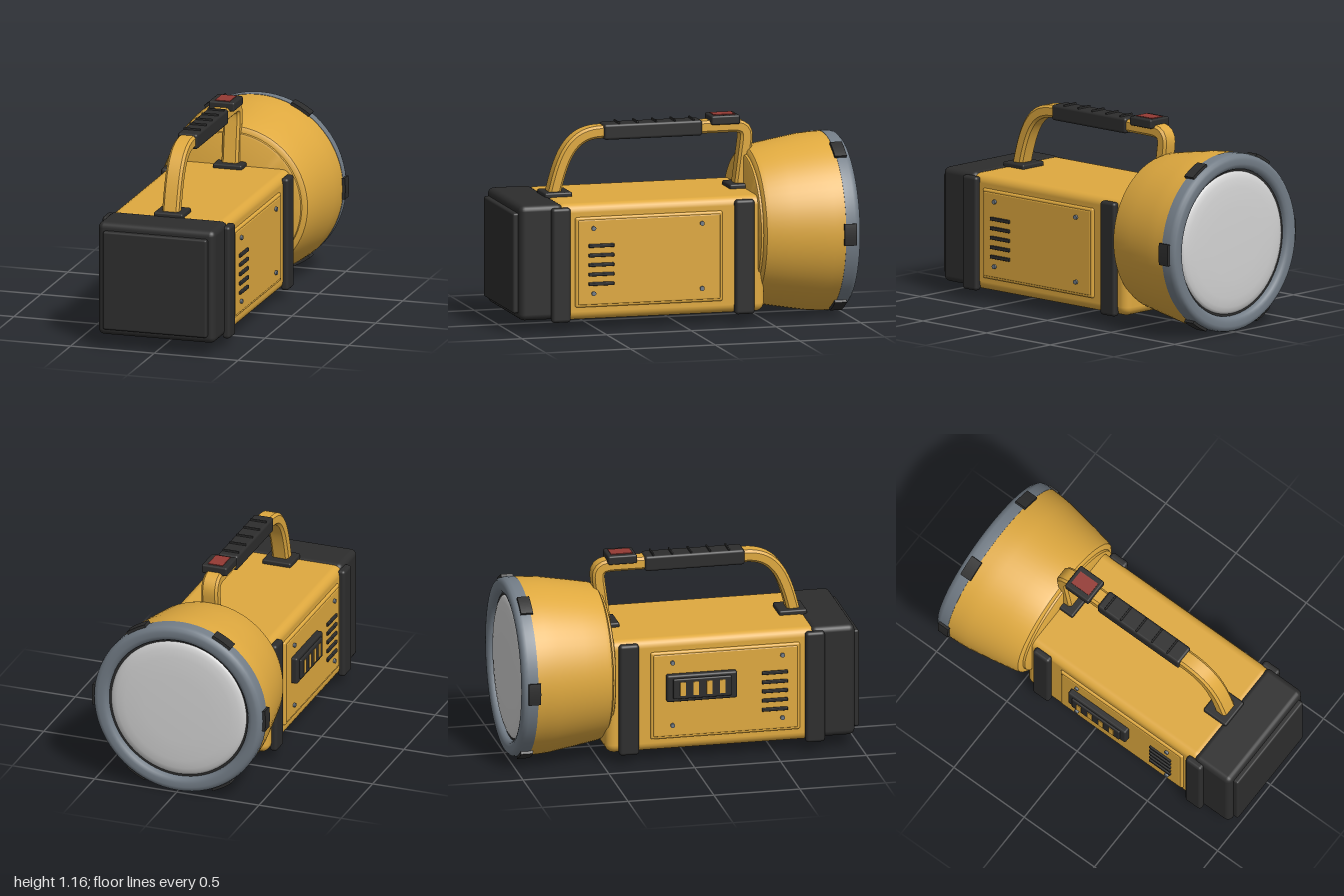
import * as THREE from 'three';
import { RoundedBoxGeometry } from 'three/addons/geometries/RoundedBoxGeometry.js';
import { toCreasedNormals } from 'three/addons/utils/BufferGeometryUtils.js';

const material = (name, color) => {
  const m = new THREE.MeshStandardMaterial({ color });
  m.name = name;
  return m;
};

export function createModel() {
  const yellow = material('yellow casing', 0xdfa93f);
  const black = material('black rubber', 0x2d2d2d);
  const grey = material('grey bezel', 0x737d87);
  const lensWhite = material('lens white', 0xd4d4d4);
  const red = material('switch red', 0x943a34);

  const model = new THREE.Group();
  model.name = 'lantern';

  const add = (name, geometry, mat, x = 0, y = 0, z = 0, parent = model) => {
    const mesh = new THREE.Mesh(geometry, mat);
    mesh.name = name;
    mesh.position.set(x, y, z);
    parent.add(mesh);
    return mesh;
  };

  // Rounded block given by its limits on each axis
  const block = (name, mat, [x0, x1], [y0, y1], [z0, z1], radius = 0.01, parent = model) =>
    add(name, new RoundedBoxGeometry(x1 - x0, y1 - y0, z1 - z0, 3, radius), mat,
      (x0 + x1) / 2, (y0 + y1) / 2, (z0 + z1) / 2, parent);

  // Turned part around the lamp axis; profile is [radius, distance towards the back]
  const headY = 0.515;
  const turned = (name, mat, profile, crease) => {
    const lathe = new THREE.LatheGeometry(profile.map(([r, d]) => new THREE.Vector2(r, d)), 72);
    lathe.rotateX(-Math.PI / 2);
    return add(name, toCreasedNormals(lathe, crease), mat, 0, headY, 0);
  };

  // Main casing and end cap
  block('body', yellow, [-0.35, 0.35], [0.065, 0.735], [-0.48, 0.75], 0.05);
  block('endCap', black, [-0.35, 0.35], [0.075, 0.738], [0.71, 0.97], 0.035);
  block('endPlate', black, [-0.31, 0.31], [0.115, 0.692], [0.94, 1.0], 0.012);

  // Side fittings, mirrored left and right
  for (const s of [-1, 1]) {
    const side = new THREE.Group();
    side.name = s > 0 ? 'leftSide' : 'rightSide';
    model.add(side);
    const span = (a, b) => (s > 0 ? [a, b] : [-b, -a]);
    block('sidePanel', yellow, span(0.33, 0.364), [0.14, 0.66], [-0.225, 0.645], 0.012, side);
    // Raised rim line on the panel
    block('panelFace', yellow, span(0.34, 0.368), [0.155, 0.645], [-0.21, 0.63], 0.008, side);
    block('rearBumper', black, span(0.335, 0.382), [0.06, 0.72], [-0.41, -0.295], 0.018, side);
    block('frontBumper', black, span(0.335, 0.382), [0.06, 0.72], [0.675, 0.787], 0.018, side);
    for (let i = 0; i < 5; i++) {
      const y = 0.275 + i * 0.055;
      block('ventSlat', black, span(0.355, 0.38), [y - 0.01, y + 0.01], [0.42, 0.57], 0.004, side);
    }
    for (const z of [-0.1, 0.54]) {
      for (const y of [0.22, 0.595]) {
        const screw = new THREE.CylinderGeometry(0.013, 0.013, 0.03, 14).rotateZ(Math.PI / 2);
        add('screw', screw, grey, s * 0.365, y, z, side);
      }
    }
  }

  // Charge indicator on the right side
  block('indicatorHousing', black, [-0.405, -0.36], [0.37, 0.53], [-0.14, 0.27], 0.012);
  block('indicatorPanel', black, [-0.417, -0.39], [0.39, 0.51], [-0.105, 0.235], 0.008);
  for (let i = 0; i < 4; i++) {
    add('indicatorBar', new THREE.BoxGeometry(0.008, 0.08, 0.032), yellow,
      -0.417, 0.45, -0.05 + i * 0.077);
  }

  // Lamp head
  turned('headShell', yellow, [
    [0.001, 0.435], [0.4, 0.435], [0.41, 0.44], [0.413, 0.452], [0.43, 0.456], [0.443, 0.465],
    [0.452, 0.49], [0.476, 0.62], [0.503, 0.78], [0.509, 0.85], [0.511, 0.915],
  ], 0.6);
  turned('bezel', grey, [
    [0.49, 0.912], [0.513, 0.912], [0.513, 0.965], [0.508, 0.985], [0.495, 0.998], [0.48, 1.0],
    [0.455, 1.0], [0.435, 0.994], [0.425, 0.98], [0.422, 0.93],
  ], 0.7);
  turned('lensSeal', black, [[0.43, 0.965], [0.4, 0.965], [0.4, 0.95]], 0.6);
  turned('lens', lensWhite, [
    [0.413, 0.955], [0.41, 0.968], [0.395, 0.977], [0.37, 0.984], [0.32, 0.99],
    [0.2, 0.994], [0.001, 0.996],
  ], 0.9);

  // Six clips gripping the bezel, each a curved segment
  for (let i = 0; i < 6; i++) {
    const a = (i * Math.PI) / 3;
    const half = 0.12;
    const arc = new THREE.Shape();
    arc.absarc(0, 0, 0.528, a - half, a + half, false);
    arc.absarc(0, 0, 0.49, a + half, a - half, true);
    arc.closePath();
    add('bezelClip', new THREE.ExtrudeGeometry(arc, { depth: 0.07, bevelEnabled: false, curveSegments: 6 }),
      black, 0, headY, -0.97);
  }

  // Carrying handle: chamfered section swept along a bent path
  const v = (y, z) => new THREE.Vector3(0, y, z);
  const path = new THREE.CurvePath();
  path.add(new THREE.CubicBezierCurve3(v(0.74, 0.68), v(0.95, 0.63), v(1.09, 0.58), v(1.09, 0.4)));
  path.add(new THREE.LineCurve3(v(1.09, 0.4), v(1.09, -0.36)));
  path.add(new THREE.CubicBezierCurve3(v(1.09, -0.36), v(1.09, -0.44), v(1.075, -0.465), v(1.0, -0.455)));
  path.add(new THREE.LineCurve3(v(1.0, -0.455), v(0.74, -0.42)));
  const w = 0.05, h = 0.036, c = 0.014;
  const section = new THREE.Shape([
    [w - c, -h], [w, -h + c], [w, h - c], [w - c, h],
    [-w + c, h], [-w, h - c], [-w, -h + c], [-w + c, -h],
  ].map(([x, y]) => new THREE.Vector2(x, y)));
  const bar = new THREE.ExtrudeGeometry(section, { steps: 80, extrudePath: path });
  add('handleBar', toCreasedNormals(bar, 0.5), yellow);

  // Grip with ribs
  block('grip', black, [-0.06, 0.06], [1.045, 1.135], [-0.19, 0.39], 0.015);
  for (let i = 0; i < 5; i++) {
    const z = -0.14 + i * 0.11;
    block('gripRib', black, [-0.05, 0.05], [1.12, 1.146], [z - 0.005, z + 0.005], 0.003);
  }

  // Handle feet
  block('frontFoot', black, [-0.087, 0.087], [0.725, 0.76], [0.585, 0.747], 0.01);
  block('rearFoot', black, [-0.087, 0.087], [0.725, 0.76], [-0.5, -0.345], 0.01);

  // Power switch
  block('switchHousing', black, [-0.077, 0.077], [1.105, 1.157], [-0.408, -0.24], 0.01);
  add('switchButton', new THREE.BoxGeometry(0.088, 0.008, 0.125), red, 0, 1.157, -0.323);

  return model;
}
